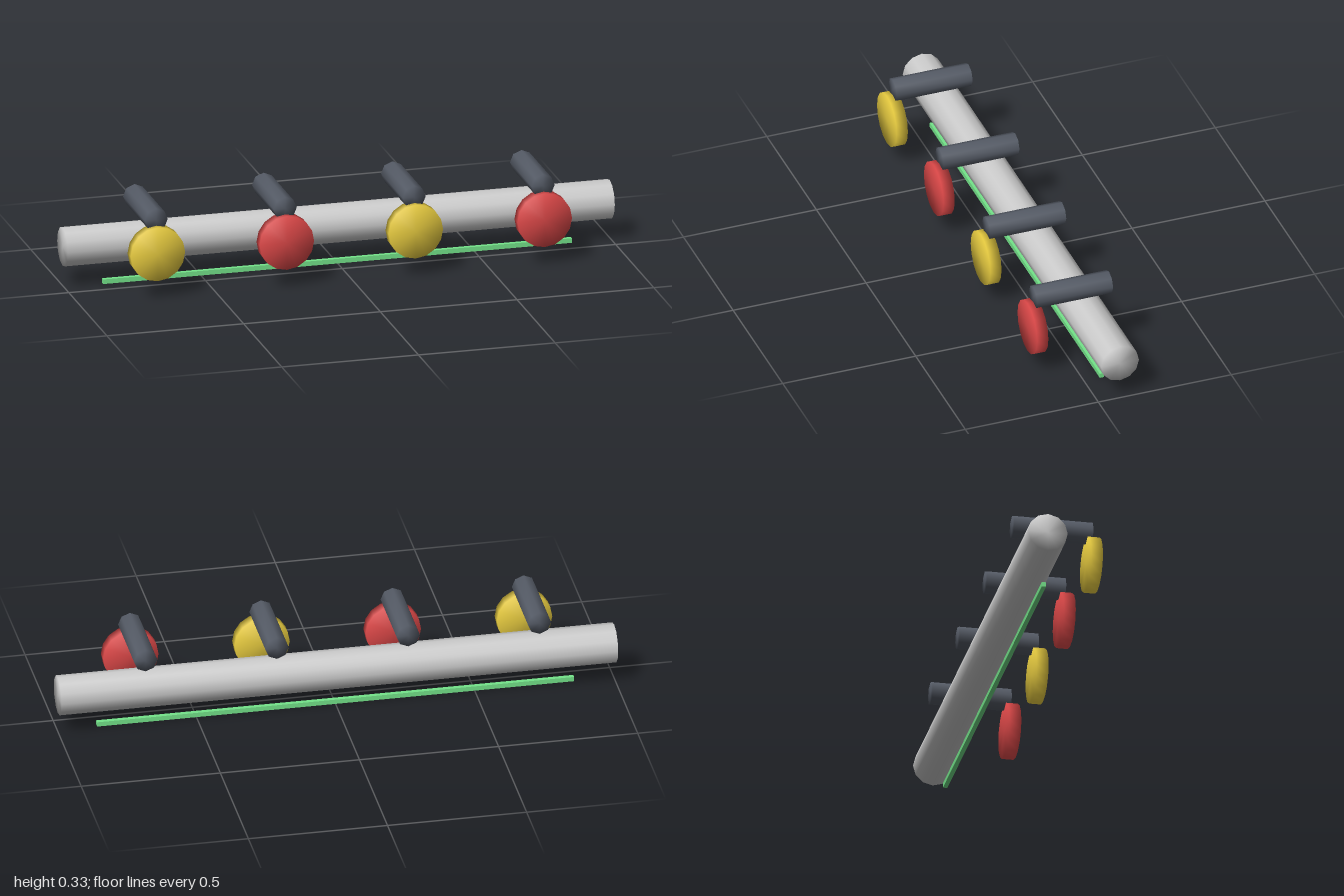
import * as THREE from 'three';
import { mergeVertices } from 'three/addons/utils/BufferGeometryUtils.js';

const paint = (color) => new THREE.MeshStandardMaterial({ color });

// Closed cylinder whose normals are shared between side and caps
function softCylinder(radius, length, sides) {
  const raw = new THREE.CylinderGeometry(radius, radius, length, sides);
  raw.deleteAttribute('normal');
  raw.deleteAttribute('uv');
  const geometry = mergeVertices(raw, 1e-5);
  geometry.computeVertexNormals();
  return geometry;
}

export function createModel() {
  const model = new THREE.Group();
  model.name = 'targetRack';

  const add = (parent, name, geometry, material, x, y, z) => {
    const mesh = new THREE.Mesh(geometry, material);
    mesh.name = name;
    mesh.position.set(x, y, z);
    parent.add(mesh);
    return mesh;
  };

  // Long horizontal pipe
  add(model, 'mainPipe', softCylinder(0.071, 2, 12).rotateZ(Math.PI / 2),
    paint(0xcccccc), 0, 0.144, -0.082);

  // Thin strip beneath the pipe
  add(model, 'lightStrip', new THREE.BoxGeometry(1.714, 0.017, 0.016),
    paint(0x74e48a), 0, 0.0085, -0.067);

  // Four arms, each carrying a round disc at the front
  const armGeometry = softCylinder(0.042, 0.285, 8).rotateX(Math.PI / 2);
  const discGeometry = softCylinder(0.0995, 0.042, 16).rotateX(Math.PI / 2);
  const armMaterial = paint(0x555b66);
  const discMaterials = [paint(0xe8cc40), paint(0xdc4848)];
  for (let i = 0; i < 4; i++) {
    const unit = new THREE.Group();
    unit.name = 'discUnit' + (i + 1);
    unit.position.x = -0.717 + i * 0.4717;
    add(unit, 'arm', armGeometry, armMaterial, 0, 0.287, -0.0105);
    add(unit, 'disc', discGeometry, discMaterials[i % 2], 0, 0.166, 0.133);
    model.add(unit);
  }

  return model;
}
